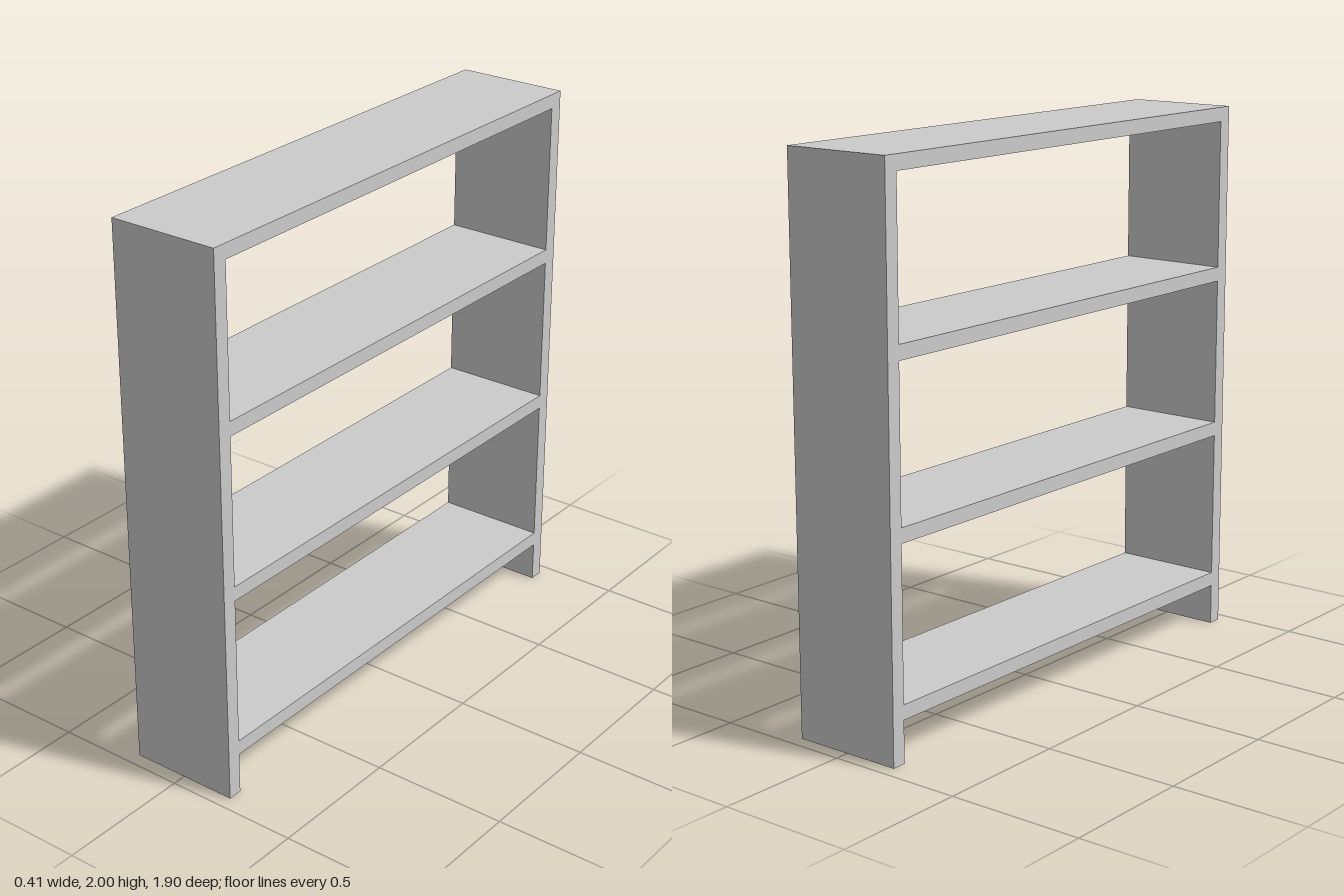
import * as THREE from 'three';

export function createModel() {
  const group = new THREE.Group();
  const material = new THREE.MeshStandardMaterial({ color: 0xcccccc });
  const height = 2, width = 1.9, depth = 0.415, board = 0.053;

  const addBoard = (name, h, w, y, z) => {
    const mesh = new THREE.Mesh(new THREE.BoxGeometry(depth, h, w), material);
    mesh.name = name;
    mesh.position.set(0, y, z);
    group.add(mesh);
  };

  // upright end panels, running down to the floor
  for (const side of [1, -1]) {
    addBoard(side > 0 ? 'frontPanel' : 'backPanel', height, board, height / 2, side * (width - board) / 2);
  }

  // three shelves and the top, fitted between the panels
  [0.205, 0.805, 1.403, height].forEach((top, i) => {
    addBoard(i < 3 ? `shelf${i + 1}` : 'topBoard', board, width - 2 * board, top - board / 2, 0);
  });

  return group;
}
